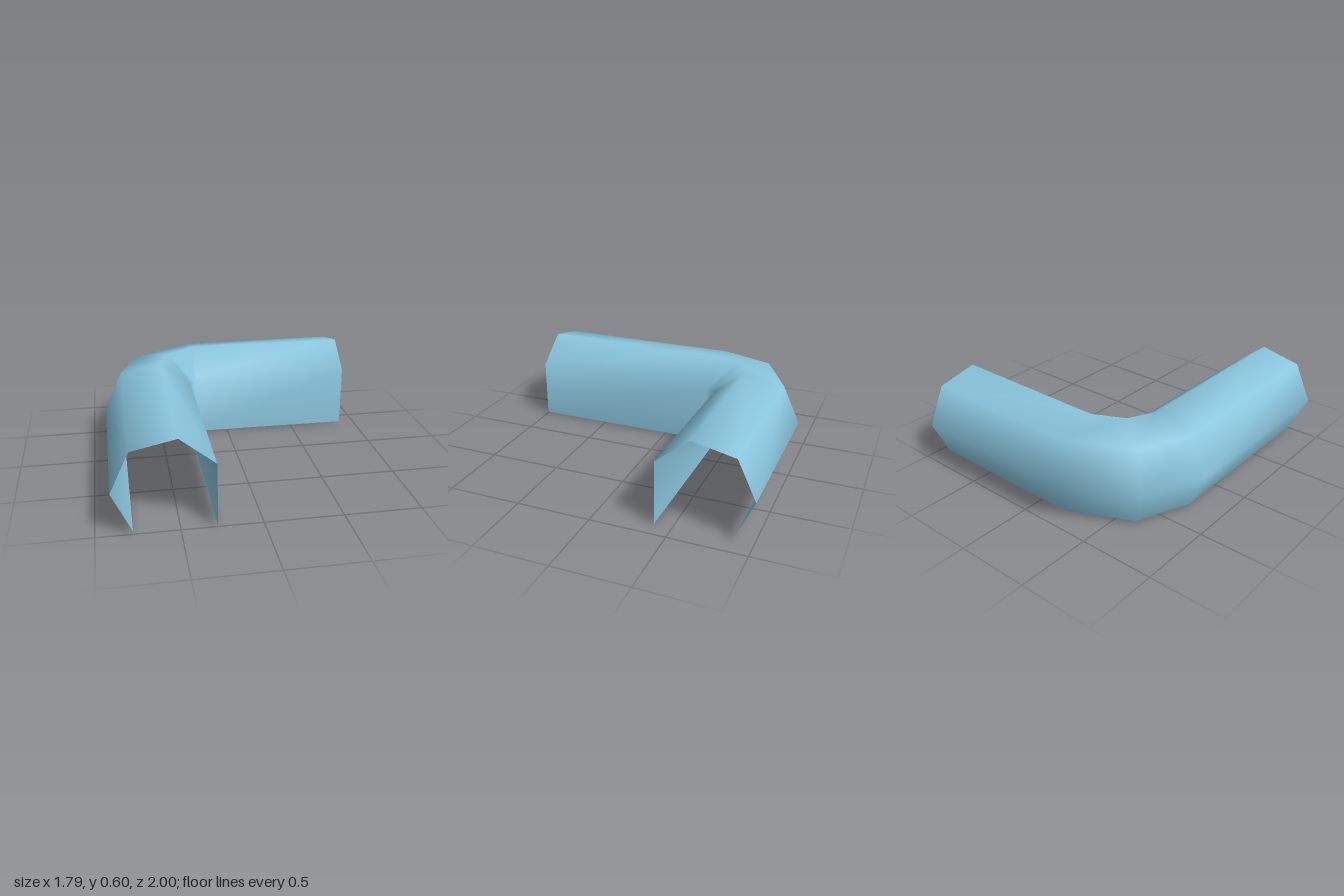
import * as THREE from 'three';

export function createModel() {
  const group = new THREE.Group();
  group.name = 'cornerGutter';
  const paleBlue = new THREE.MeshStandardMaterial({ color: 0x8ac6de, side: THREE.DoubleSide });
  paleBlue.name = 'paleBlue';

  // Open section: distance inward from the outer edge, height
  const section = [[0.12, 0.02], [0, 0.275], [0.12, 0.53], [0.4, 0.59], [0.62, 0.415], [0.62, 0.008]];

  // Stations along the bend: outer edge x, z, inward direction x, z, lift, inner lift
  const stations = [
    [-0.9, 1, 1, 0, 0, 0],
    [-0.9, -0.31, 1, 0, 0, 0],
    [-0.73, -0.75, 0.772, 0.636, 0.005, -0.004],
    [-0.225, -1, 0, 0.98, 0.014, -0.008],
    [0.895, -1, 0, 0.995, 0.014, -0.008],
  ];

  const positions = [];
  const index = [];
  const n = section.length;
  stations.forEach(([x, z, dx, dz, lift, innerLift], i) => {
    section.forEach(([d, y], j) => {
      positions.push(x + dx * d, y + (j === n - 1 ? innerLift : lift), z + dz * d);
      if (i < stations.length - 1 && j < n - 1) {
        const a = i * n + j, b = a + 1, c = a + n, e = c + 1;
        index.push(a, b, c, b, e, c);
      }
    });
  });

  // One smooth shell, open underneath and at both ends
  const geometry = new THREE.BufferGeometry();
  geometry.setAttribute('position', new THREE.Float32BufferAttribute(positions, 3));
  geometry.setIndex(index);
  geometry.computeVertexNormals();
  const shell = new THREE.Mesh(geometry, paleBlue);
  shell.name = 'bentShell';
  group.add(shell);
  return group;
}
